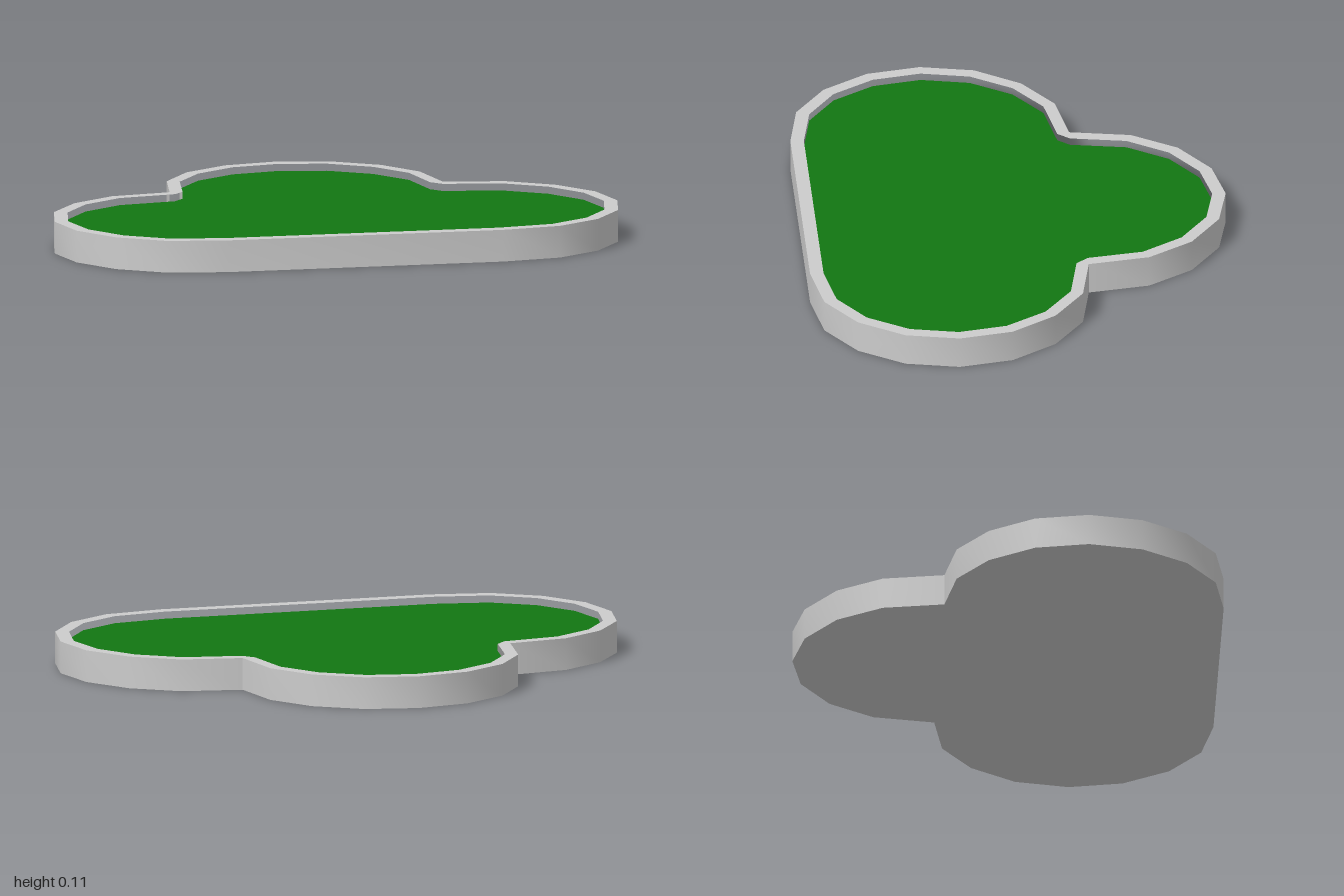
import * as THREE from 'three';
import { toCreasedNormals } from 'three/addons/utils/BufferGeometryUtils.js';

const HEIGHT = 0.112;
const FLOOR = 0.087;

// Right half of each outline as [x, z], from back centre to front edge
const OUTER = [
  [0, -0.743], [0.187, -0.707], [0.346, -0.601], [0.45, -0.445], [0.486, -0.232],
  [0.699, -0.197], [0.855, -0.091], [0.963, 0.066], [1, 0.253],
  [0.963, 0.44], [0.857, 0.598], [0.699, 0.704], [0.489, 0.739],
];
const INNER = [
  [0, -0.696], [0.168, -0.664], [0.312, -0.568], [0.408, -0.426], [0.44, -0.232], [0.476, -0.19],
  [0.68, -0.156], [0.823, -0.058], [0.918, 0.084], [0.952, 0.253],
  [0.918, 0.422], [0.823, 0.565], [0.68, 0.66], [0.487, 0.692],
];

// Mirrors a half outline into a closed loop; shape y is -z
function outline(half) {
  const right = half.map(([x, z]) => new THREE.Vector2(x, -z));
  const left = half.slice(1).reverse().map(([x, z]) => new THREE.Vector2(-x, -z));
  return [...right, ...left];
}

export function createModel() {
  const group = new THREE.Group();
  group.name = 'trefoilTray';
  const grey = new THREE.MeshStandardMaterial({ color: 0xcccccc });
  const green = new THREE.MeshStandardMaterial({ color: 0x127612 });

  function add(name, geometry, material) {
    const mesh = new THREE.Mesh(geometry, material);
    mesh.name = name;
    group.add(mesh);
  }

  // Raised border with the recess cut out
  const ring = new THREE.Shape(outline(OUTER));
  ring.holes.push(new THREE.Path(outline(INNER)));
  const rim = new THREE.ExtrudeGeometry(ring, { depth: HEIGHT, bevelEnabled: false });
  rim.rotateX(-Math.PI / 2);
  add('rim', toCreasedNormals(rim, Math.PI / 6), grey);

  // Green floor of the recess
  const panel = new THREE.ShapeGeometry(new THREE.Shape(outline(INNER)));
  const floor = panel.clone().rotateX(-Math.PI / 2).translate(0, FLOOR, 0);
  add('floor', floor, green);

  // Underside closing the ring, mirrored outline facing down
  const underside = panel.clone().scale(1, -1, 1).rotateX(Math.PI / 2);
  const index = underside.index.array;
  for (let i = 0; i < index.length; i += 3) {
    [index[i + 1], index[i + 2]] = [index[i + 2], index[i + 1]];
  }
  underside.computeVertexNormals();
  add('underside', underside, grey);

  return group;
}
